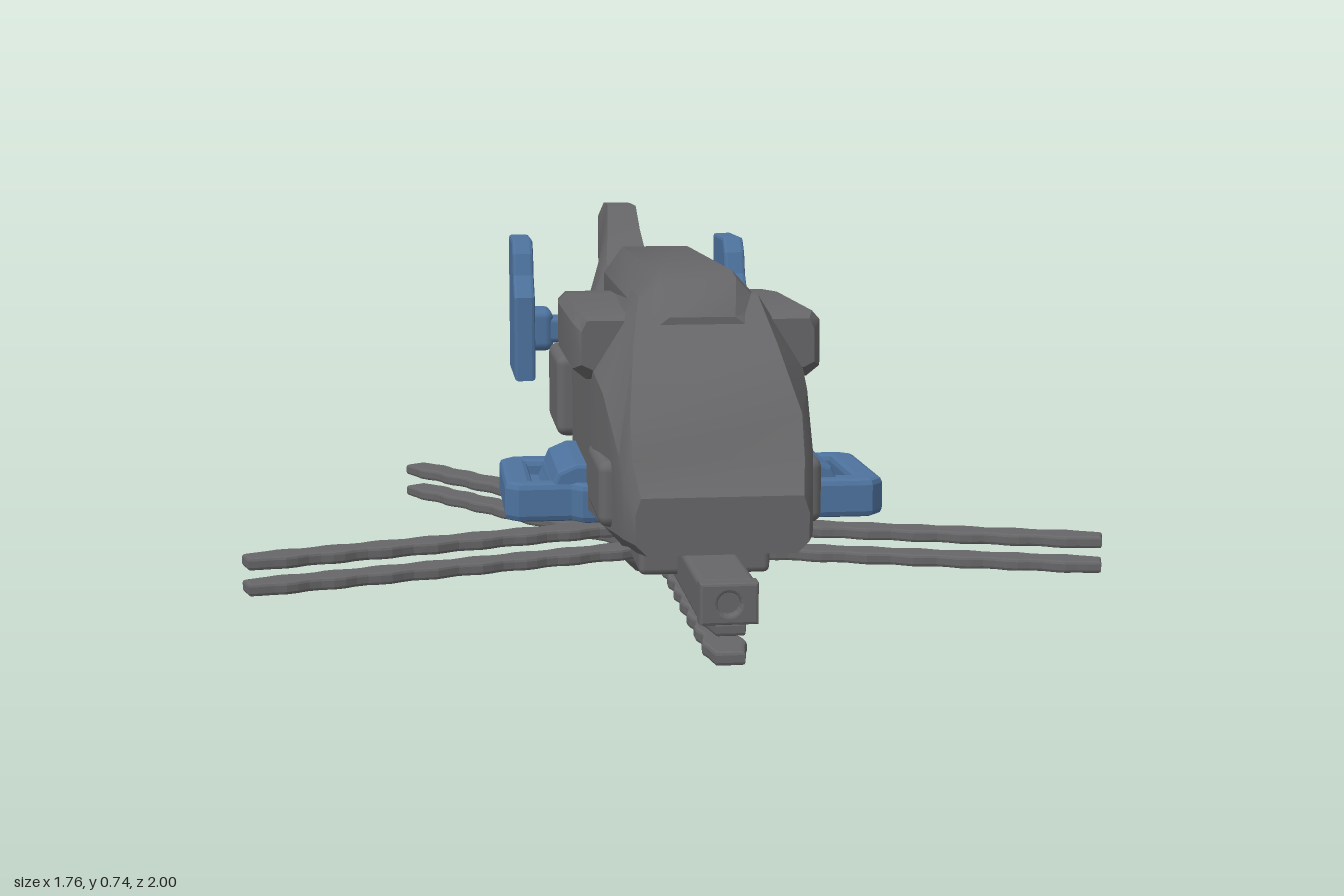
import * as THREE from 'three';
import { toCreasedNormals } from 'three/addons/utils/BufferGeometryUtils.js';
import { RoundedBoxGeometry } from 'three/addons/geometries/RoundedBoxGeometry.js';

const CX = -0.03; // centre line of the airframe
const grey = new THREE.MeshStandardMaterial({ color: 0x666668 });
grey.name = 'dark grey';
const blue = new THREE.MeshStandardMaterial({ color: 0x4d729d });
blue.name = 'steel blue';

function add(parent, name, geometry, material, x = 0, y = 0, z = 0) {
  const mesh = new THREE.Mesh(geometry, material);
  mesh.name = name;
  mesh.position.set(x, y, z);
  parent.add(mesh);
  return mesh;
}

function box(w, h, d, r = 0.012) {
  return new RoundedBoxGeometry(w, h, d, 2, r);
}

// Skin over eight-sided sections running from front to back.
// Section: z, half widths (bottom, middle, top), heights (bottom, lower, upper, top)
function loft(sections) {
  const pos = [], index = [], n = 8;
  for (const [z, wb, w, wt, yb, yl, ys, yt] of sections) {
    const half = [[wb, yb], [w, yl], [w, ys], [wt, yt]];
    for (const [x, y] of half) pos.push(x, y, z);
    for (const [x, y] of half.reverse()) pos.push(-x, y, z);
  }
  const last = (sections.length - 1) * n;
  for (let i = 0; i < last; i += n) {
    for (let j = 0; j < n; j++) {
      const k = (j + 1) % n;
      index.push(i + j, i + n + j, i + k, i + k, i + n + j, i + n + k);
    }
  }
  for (let j = 1; j < n - 1; j++) {
    index.push(0, j, j + 1, last, last + j + 1, last + j);
  }
  const g = new THREE.BufferGeometry();
  g.setAttribute('position', new THREE.Float32BufferAttribute(pos, 3));
  g.setIndex(index);
  return toCreasedNormals(g, 0.55);
}

function polygon(points) {
  return new THREE.Shape(points.map(([x, y]) => new THREE.Vector2(x, y)));
}

function plate(shape, depth, bevel = 0.008) {
  return new THREE.ExtrudeGeometry(shape, {
    depth: depth - 2 * bevel, bevelEnabled: bevel > 0, bevelThickness: bevel,
    bevelSize: bevel, bevelOffset: -bevel, bevelSegments: 2, curveSegments: 8,
  }).translate(0, 0, bevel);
}

export function createModel() {
  const model = new THREE.Group();
  model.name = 'helicopter';

  // Fuselage, from the nose to the raised tail
  add(model, 'fuselage', loft([
    [0.92, 0.13, 0.15, 0.14, 0.23, 0.25, 0.30, 0.33],
    [0.87, 0.14, 0.165, 0.15, 0.225, 0.25, 0.34, 0.385],
    [0.84, 0.14, 0.17, 0.15, 0.22, 0.25, 0.39, 0.46],
    [0.70, 0.14, 0.185, 0.13, 0.20, 0.24, 0.48, 0.565],
    [0.60, 0.14, 0.195, 0.11, 0.18, 0.24, 0.51, 0.645],
    [0.50, 0.14, 0.195, 0.11, 0.17, 0.23, 0.51, 0.645],
    [0.10, 0.13, 0.195, 0.11, 0.18, 0.23, 0.50, 0.61],
    [-0.17, 0.12, 0.175, 0.09, 0.20, 0.25, 0.48, 0.56],
    [-0.40, 0.10, 0.135, 0.06, 0.24, 0.29, 0.48, 0.55],
    [-0.60, 0.08, 0.11, 0.05, 0.29, 0.34, 0.48, 0.555],
    [-0.70, 0.05, 0.10, 0.05, 0.33, 0.40, 0.50, 0.61],
    [-0.78, 0.04, 0.07, 0.04, 0.38, 0.44, 0.56, 0.68],
    [-0.83, 0.04, 0.055, 0.035, 0.41, 0.48, 0.62, 0.735],
    [-0.92, 0.035, 0.05, 0.03, 0.46, 0.53, 0.66, 0.737],
    [-1.00, 0.03, 0.045, 0.03, 0.59, 0.61, 0.70, 0.735],
  ]), grey, CX);

  // Raised gearbox cover on the roof
  add(model, 'roofCover', loft([
    [0.66, 0.09, 0.10, 0.06, 0.52, 0.54, 0.58, 0.61],
    [0.60, 0.10, 0.12, 0.07, 0.50, 0.54, 0.62, 0.675],
    [0.55, 0.10, 0.12, 0.07, 0.50, 0.54, 0.63, 0.685],
    [-0.10, 0.10, 0.11, 0.07, 0.50, 0.54, 0.63, 0.685],
    [-0.15, 0.09, 0.10, 0.06, 0.50, 0.54, 0.60, 0.655],
    [-0.17, 0.08, 0.09, 0.05, 0.50, 0.53, 0.57, 0.60],
  ]), grey, CX);
  add(model, 'spineFairing', box(0.09, 0.04, 0.5, 0.012), grey, CX, 0.538, -0.38);

  // Engine pods, side fairings and landing wheels on both sides
  for (const s of [-1, 1]) {
    add(model, 'enginePod', loft([
      [0.61, 0.05, 0.07, 0.06, 0.51, 0.52, 0.58, 0.60],
      [0.58, 0.06, 0.085, 0.07, 0.49, 0.51, 0.595, 0.612],
      [0.20, 0.06, 0.085, 0.07, 0.485, 0.51, 0.595, 0.612],
      [0.06, 0.05, 0.075, 0.06, 0.50, 0.52, 0.59, 0.605],
      [0.02, 0.03, 0.05, 0.04, 0.52, 0.535, 0.57, 0.585],
    ]), grey, CX + s * 0.145);
    add(model, 'sideFairing', box(0.10, 0.17, 0.27, 0.02), grey, CX + s * 0.175, 0.385, -0.065);
    add(model, 'tailSidePanel', box(0.06, 0.12, 0.22, 0.02), grey, CX + s * 0.13, 0.40, -0.38);
    add(model, 'cockpitSidePanel', box(0.05, 0.12, 0.24, 0.02), grey, CX + s * 0.175, 0.31, 0.66);

    const wheel = add(model, 'landingWheel', new THREE.TorusGeometry(0.063, 0.018, 8, 16), grey,
      CX + s * 0.125, 0.155, -0.27);
    wheel.rotation.y = Math.PI / 2;
    add(model, 'wheelStrut', box(0.035, 0.06, 0.07), grey, CX + s * 0.12, 0.235, -0.27);
  }

  // Nose gun with an open muzzle
  add(model, 'gunBody', box(0.10, 0.075, 0.44), grey, CX, 0.1625, 0.76);
  const muzzle = polygon([[-0.05, -0.036], [0.05, -0.036], [0.05, 0.036], [-0.05, 0.036]]);
  muzzle.holes.push(new THREE.Path().absarc(0, 0, 0.02, 0, Math.PI * 2, true));
  add(model, 'gunMuzzle', plate(muzzle, 0.04, 0.005), grey, CX, 0.1625, 0.96);
  add(model, 'gunMount', box(0.24, 0.07, 0.16), grey, CX, 0.18, 0.62);

  // Stub wings with a slot along the top
  const wing = polygon([[0.14, -0.49], [0.34, -0.49], [0.365, -0.46],
    [0.365, -0.19], [0.34, -0.165], [0.24, -0.165], [0.22, -0.14], [0.14, -0.14]]);
  wing.holes.push(new THREE.Path([[0.28, -0.43], [0.28, -0.21], [0.31, -0.21], [0.31, -0.43]]
    .map(([x, y]) => new THREE.Vector2(x, y))));
  const wingRoot = polygon([[0.12, 0.24], [0.29, 0.24], [0.265, 0.295], [0.23, 0.31], [0.12, 0.31]]);
  for (const s of [0, 1]) {
    const side = new THREE.Group();
    side.name = 'stubWing';
    side.position.x = -0.015;
    const flip = (g) => {
      if (!s) return g;
      return g.rotateY(Math.PI);
    };
    // Half-turn for the far side, then slide back to the same station along z
    const shift = s ? 0.63 : 0;
    const panel = plate(wing, 0.075, 0.012).rotateX(-Math.PI / 2);
    add(side, 'wingPanel', flip(panel), blue, 0, 0.2, shift);
    add(side, 'wingSlotFloor', box(0.05, 0.02, 0.25, 0.005), blue, (s ? -1 : 1) * 0.295, 0.235, 0.32);
    const root = plate(wingRoot, 0.29).translate(0, 0, 0.17);
    add(side, 'wingRoot', flip(root), blue, 0, 0, shift);
    model.add(side);
  }

  // Tailplane and end fins
  add(model, 'tailplane', box(0.5, 0.06, 0.10), blue, CX, 0.445, -0.69);
  const fin = polygon([[0.585, 0.33], [0.84, 0.33], [0.84, 0.665],
    [0.675, 0.665], [0.645, 0.63], [0.63, 0.58], [0.585, 0.53]]);
  for (const s of [-1, 1]) {
    const geo = plate(fin, 0.05).translate(0, 0, -0.025).rotateY(Math.PI / 2);
    add(model, 'endFin', geo, blue, CX + s * 0.257, 0, 0);
    add(model, 'tailplaneRoot', box(0.06, 0.10, 0.13, 0.02), blue, CX + s * 0.215, 0.445, -0.70);
  }

  // Twin five-bladed rotor below the hull
  const rotor = new THREE.Group();
  rotor.name = 'rotor';
  rotor.position.x = -0.015;
  model.add(rotor);
  const hubProfile = [[0, 0], [0.075, 0], [0.1, 0.025], [0.108, 0.06], [0.108, 0.15],
    [0.09, 0.185], [0, 0.185]].map(([x, y]) => new THREE.Vector2(x, y));
  add(rotor, 'rotorHub', toCreasedNormals(new THREE.LatheGeometry(hubProfile, 10), 0.6), grey);
  add(rotor, 'rotorMast', new THREE.CylinderGeometry(0.05, 0.05, 0.1, 12), grey, 0, 0.2, 0);

  const edge = [];
  const steps = 36;
  for (let i = 0; i <= steps; i++) {
    const r = 0.05 + 0.865 * i / steps;
    const tip = i === steps ? -0.01 : 0;
    edge.push([r, 0.035 + tip + 0.005 * Math.sin(r * 62)]);
  }
  const blade = polygon([...edge.map(([r, w]) => [r, -w]), ...edge.reverse()]);
  const bladeGeo = plate(blade, 0.025, 0.006).translate(0, 0, -0.0125).rotateX(-Math.PI / 2);
  for (const y of [0.045, 0.097]) {
    for (let i = 0; i < 5; i++) {
      const mesh = add(rotor, 'rotorBlade', bladeGeo, grey, 0, y, 0);
      mesh.rotation.y = -Math.PI / 2 + i * Math.PI * 2 / 5;
    }
  }
  return model;
}
